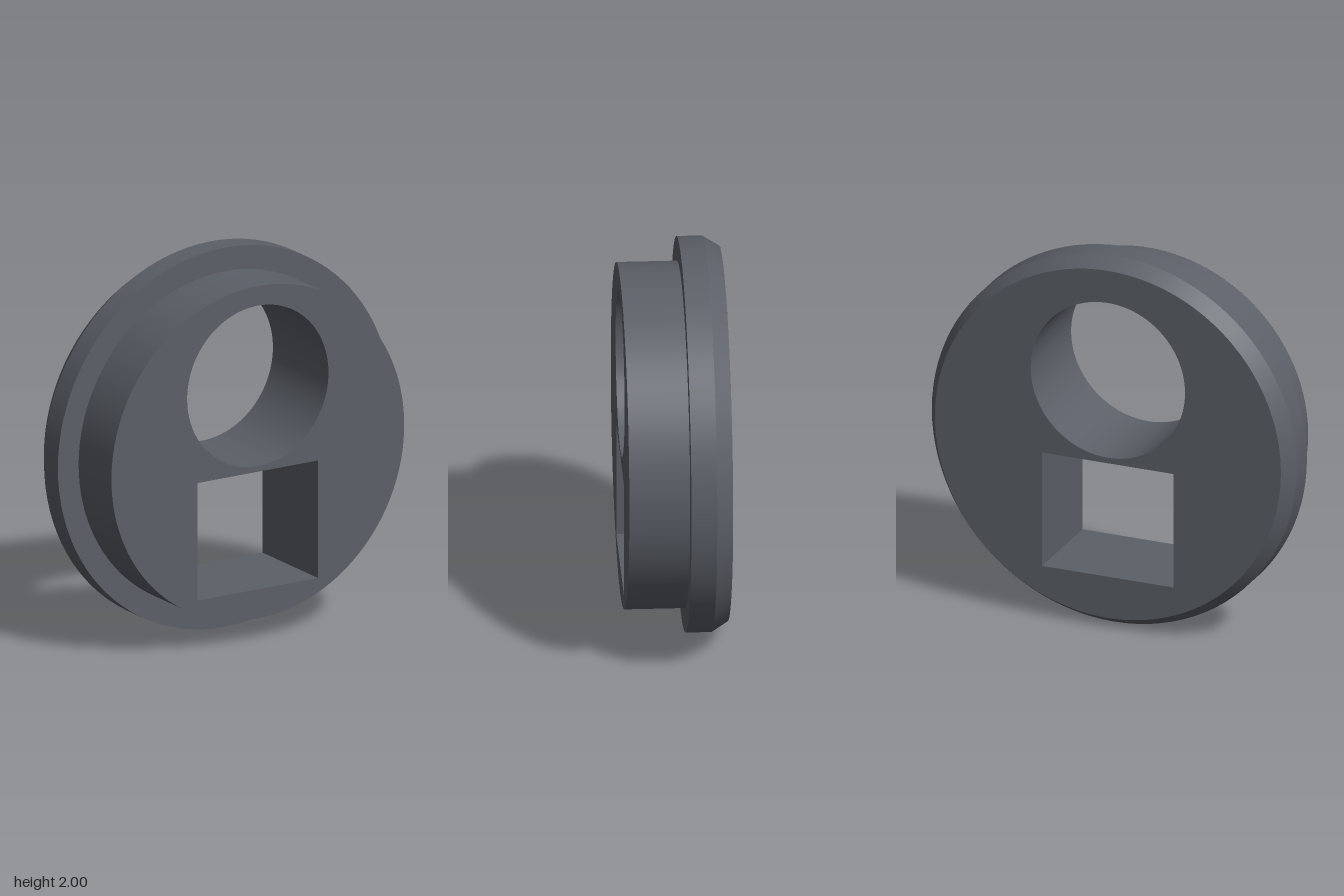
import * as THREE from 'three';
import { mergeGeometries } from 'three/addons/utils/BufferGeometryUtils.js';

const SEG = 96;
const BACK = -0.26, CHAMFER = -0.177, STEP = -0.047, FRONT = 0.26;
const RIM_R = 1, BACK_R = 0.948, PLUG_R = 0.876;
const HOLE = { y: 0.35, r: 0.423 };
const SLOT = { y: -0.413, w: 0.722, h: 0.62 };

// Surface of revolution about z between two (radius, z) points;
// running toward +z faces outward, running toward -z faces inward
function band(r0, z0, r1, z1) {
  const points = [new THREE.Vector2(r0, z0), new THREE.Vector2(r1, z1)];
  return new THREE.LatheGeometry(points, SEG).rotateX(Math.PI / 2);
}

// Flat disc pierced by the round and rectangular openings
function piercedDisc(radius) {
  const shape = new THREE.Shape().absarc(0, 0, radius, 0, Math.PI * 2, false);
  const round = new THREE.Path().absarc(0, HOLE.y, HOLE.r, 0, Math.PI * 2, true);
  const x = SLOT.w / 2, y0 = SLOT.y - SLOT.h / 2, y1 = SLOT.y + SLOT.h / 2;
  const slot = new THREE.Path()
    .moveTo(-x, y0).lineTo(-x, y1).lineTo(x, y1).lineTo(x, y0).closePath();
  shape.holes.push(round, slot);
  return new THREE.ShapeGeometry(shape, SEG);
}

export function createModel() {
  const group = new THREE.Group();
  group.name = 'piercedPlug';
  const grey = new THREE.MeshStandardMaterial({ color: 0x5b5f67, side: THREE.DoubleSide });
  grey.name = 'slateGrey';

  const add = (name, geometry) => {
    const mesh = new THREE.Mesh(geometry, grey);
    mesh.name = name;
    mesh.position.y = 1;
    group.add(mesh);
  };

  // Flange with chamfered back edge and the shoulder around the plug
  add('flange', mergeGeometries([
    band(BACK_R, BACK, RIM_R, CHAMFER),
    band(RIM_R, CHAMFER, RIM_R, STEP),
    band(RIM_R, STEP, PLUG_R, STEP),
  ]));

  // Narrower plug wall
  add('plugWall', band(PLUG_R, STEP, PLUG_R, FRONT));

  // End faces
  add('frontFace', piercedDisc(PLUG_R).translate(0, 0, FRONT));
  add('backFace', piercedDisc(BACK_R).rotateY(Math.PI).translate(0, 0, BACK));

  // Inner wall of the round opening
  add('roundHoleWall', band(HOLE.r, FRONT, HOLE.r, BACK).translate(0, HOLE.y, 0));

  // Four inward-facing walls of the rectangular opening
  const walls = [0, 1, 2, 3].map((i) => {
    const [width, gap] = i % 2 ? [SLOT.h, SLOT.w] : [SLOT.w, SLOT.h];
    return new THREE.PlaneGeometry(width, FRONT - BACK)
      .rotateX(-Math.PI / 2)
      .translate(0, -gap / 2, 0)
      .rotateZ(i * Math.PI / 2);
  });
  add('squareHoleWalls', mergeGeometries(walls).translate(0, SLOT.y, 0));

  return group;
}
